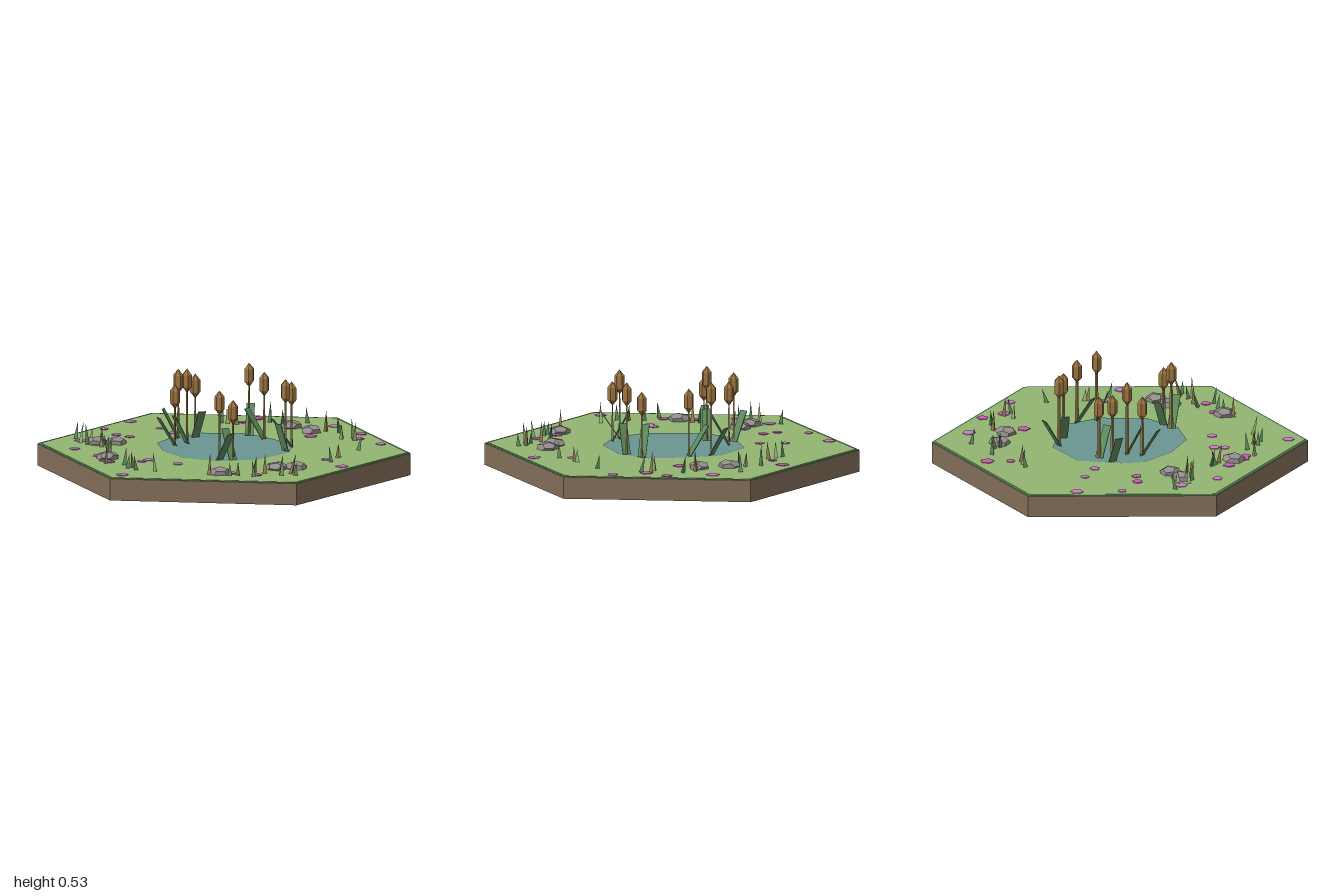
import * as THREE from 'three';

const TOP = 0.122;
const mat = (name, color, extra = {}) => {
  const m = new THREE.MeshStandardMaterial({ color, flatShading: true, ...extra });
  m.name = name;
  return m;
};

export function createModel() {
  const soil = mat('soil', 0x826e58);
  const grass = mat('grass', 0x93b573);
  const leafGreen = mat('leafGreen', 0x5c8a5c);
  const water = mat('water', 0x6a9592, { side: THREE.DoubleSide });
  const stone = mat('stone', 0x948c8c);
  const seedBrown = mat('seedBrown', 0x9c7440);
  const straw = mat('straw', 0x8f7d4c);
  const darkPink = mat('darkPink', 0xc85cae);
  const palePink = mat('palePink', 0xc77cc2);

  const model = new THREE.Group();
  model.name = 'pondTile';
  let seed = 7;
  const rand = () => (seed = (seed * 16807) % 2147483647) / 2147483647;

  const add = (parent, name, geo, material, x = 0, y = 0, z = 0) => {
    const mesh = new THREE.Mesh(geo, material);
    mesh.name = name;
    mesh.position.set(x, y, z);
    parent.add(mesh);
    return mesh;
  };
  const group = (name) => {
    const g = new THREE.Group();
    g.name = name;
    model.add(g);
    return g;
  };

  // Hexagonal ground, with a narrow green rim around the lawn
  add(model, 'soilBase', new THREE.CylinderGeometry(1, 1, 0.117, 6), soil, 0, 0.0585);
  add(model, 'lawnRim', new THREE.CylinderGeometry(0.997, 1, 0.003, 6), leafGreen, 0, 0.1185);
  add(model, 'lawn', new THREE.CylinderGeometry(0.982, 0.982, 0.003, 6), grass, 0, 0.1205);

  // Uneven pond surface
  const shore = [[-0.37, 0], [-0.35, 0.13], [-0.2, 0.27], [0, 0.355], [0.2, 0.31], [0.335, 0.155],
    [0.355, -0.1], [0.26, -0.27], [0.07, -0.33], [-0.11, -0.36], [-0.32, -0.23]];
  const pond = new THREE.ShapeGeometry(new THREE.Shape(shore.map(([x, z]) => new THREE.Vector2(x, -z))));
  pond.rotateX(-Math.PI / 2);
  add(model, 'pond', pond, water, 0, 0.125);

  // Cattails: x, z, top height, then where the leaf tip ends in x, z
  const reeds = group('cattails');
  const headGeo = new THREE.SphereGeometry(0.031, 6, 3).scale(1, 2.15, 1);
  const up = new THREE.Vector3(0, 1, 0);
  [
    [-0.08, -0.325, 0.52, -0.13, -0.405], [0.04, -0.3, 0.49, -0.07, -0.29],
    [0.28, -0.225, 0.48, 0.22, -0.14], [0.32, -0.12, 0.515, 0.315, -0.06],
    [-0.28, -0.115, 0.47, -0.2, -0.07], [-0.34, -0.045, 0.5, -0.415, -0.01],
    [-0.22, 0.035, 0.53, -0.25, 0.11], [-0.24, 0.115, 0.455, -0.285, 0.2],
    [0.24, 0.235, 0.45, 0.16, 0.2], [0.18, 0.275, 0.5, 0.28, 0.305],
  ].forEach(([x, z, top, tipX, tipZ]) => {
    const stemH = top - 0.1 - 0.12;
    const stem = new THREE.CylinderGeometry(0.007, 0.011, stemH, 4).scale(0.5, 1, 1);
    add(reeds, 'cattailStem', stem, straw, x, 0.12 + stemH / 2, z);
    add(reeds, 'cattailHead', headGeo, seedBrown, x, top - 0.067, z).rotation.y = rand();

    // Flat leaning leaf, its width lying level
    const base = new THREE.Vector3(x, 0.125, z);
    const tip = new THREE.Vector3(tipX, 0.28, tipZ);
    const along = tip.clone().sub(base);
    const length = along.length();
    along.normalize();
    const across = new THREE.Vector3().crossVectors(up, along).normalize();
    const out = new THREE.Vector3().crossVectors(across, along);
    const leaf = add(reeds, 'cattailLeaf', new THREE.BoxGeometry(0.044, length, 0.005), leafGreen);
    leaf.quaternion.setFromRotationMatrix(new THREE.Matrix4().makeBasis(across, along, out));
    leaf.position.copy(base).lerp(tip, 0.5);
  });

  // Flattened stones: x, z, radius
  const stones = group('stones');
  [
    [-0.04, -0.64, 0.06], [0.12, -0.605, 0.06], [-0.52, 0.26, 0.057], [-0.605, 0.32, 0.06],
    [-0.32, 0.6, 0.062], [0.4, 0.56, 0.062], [0.56, 0.275, 0.06], [0.635, 0.2, 0.06],
  ].forEach(([x, z, r]) => {
    const geo = new THREE.DodecahedronGeometry(r).rotateY(rand() * 6).rotateX(rand()).scale(1, 0.5, 1);
    add(stones, 'stone', geo, stone, x, 0.131, z);
  });

  // Flat five-sided flowers: x, z, radius
  const flowers = group('flowers');
  [
    [-0.32, -0.71, 0.038], [-0.32, -0.585, 0.024], [0.13, -0.8, 0.036], [0.365, -0.725, 0.032],
    [0.43, -0.61, 0.034], [0.61, -0.575, 0.028], [0.19, -0.51, 0.036], [-0.81, -0.24, 0.034],
    [-0.575, -0.195, 0.024], [-0.445, -0.14, 0.028], [-0.8, 0, 0.024], [-0.655, 0.085, 0.028],
    [-0.57, 0.08, 0.028], [-0.715, 0.315, 0.034], [-0.61, 0.51, 0.028], [-0.12, 0.5, 0.032],
    [-0.125, 0.555, 0.026], [0.065, 0.49, 0.028], [-0.4, 0.575, 0.034], [-0.255, 0.665, 0.028],
    [-0.3, 0.66, 0.026], [0.44, 0.51, 0.034], [0.575, 0.465, 0.028], [0.8, 0.015, 0.034],
    [0.62, -0.075, 0.024], [0.005, 0.895, 0.032], [-0.59, 0.355, 0.028],
  ].forEach(([x, z, r], i) => {
    const pink = [0, 1, 3, 4, 6, 11, 12, 18, 19, 20, 21, 22].includes(i) ? darkPink : palePink;
    add(flowers, 'flower', new THREE.CylinderGeometry(r, r, 0.004, i % 3 ? 6 : 5), pink, x, TOP + 0.002, z)
      .rotation.y = rand() * 6;
  });

  // Pointed three-sided grass blades scattered in tufts: x, z
  const blades = group('grassBlades');
  const bladeColors = [leafGreen, grass, leafGreen, straw];
  [
    [-0.21, -0.68], [-0.12, -0.67], [-0.04, -0.79], [-0.32, -0.53], [-0.41, -0.51], [-0.37, -0.52],
    [-0.1, -0.64], [0.17, -0.67], [0.25, -0.68], [0.36, -0.56], [0.44, -0.57], [0.4, -0.61],
    [0.61, -0.38], [0.635, -0.18], [0.68, -0.05], [0.64, -0.16], [-0.77, 0.285], [-0.68, 0.36],
    [-0.63, 0.37], [-0.53, 0.375], [-0.55, 0.345], [-0.66, 0.3], [-0.41, 0.48], [-0.36, 0.52],
    [-0.39, 0.5], [-0.25, 0.71], [-0.15, 0.675], [-0.07, 0.71], [-0.02, 0.745], [0.085, 0.71],
    [-0.08, 0.735], [0.37, 0.61], [0.5, 0.53], [0.58, 0.505], [0.47, 0.56], [0.58, 0.4],
    [0.52, 0.42], [0.68, 0.39], [0.74, 0.34], [0.7, 0.33], [0.66, 0.37],
  ].forEach(([x, z], i) => {
    const h = 0.07 + rand() * 0.05;
    const geo = new THREE.ConeGeometry(0.014, h, 3).translate(0, h / 2, 0);
    const blade = add(blades, 'grassBlade', geo, bladeColors[i % 4], x, 0.121, z);
    blade.rotation.set((rand() - 0.5) * 0.35, rand() * 6, (rand() - 0.5) * 0.35);
  });

  return model;
}
